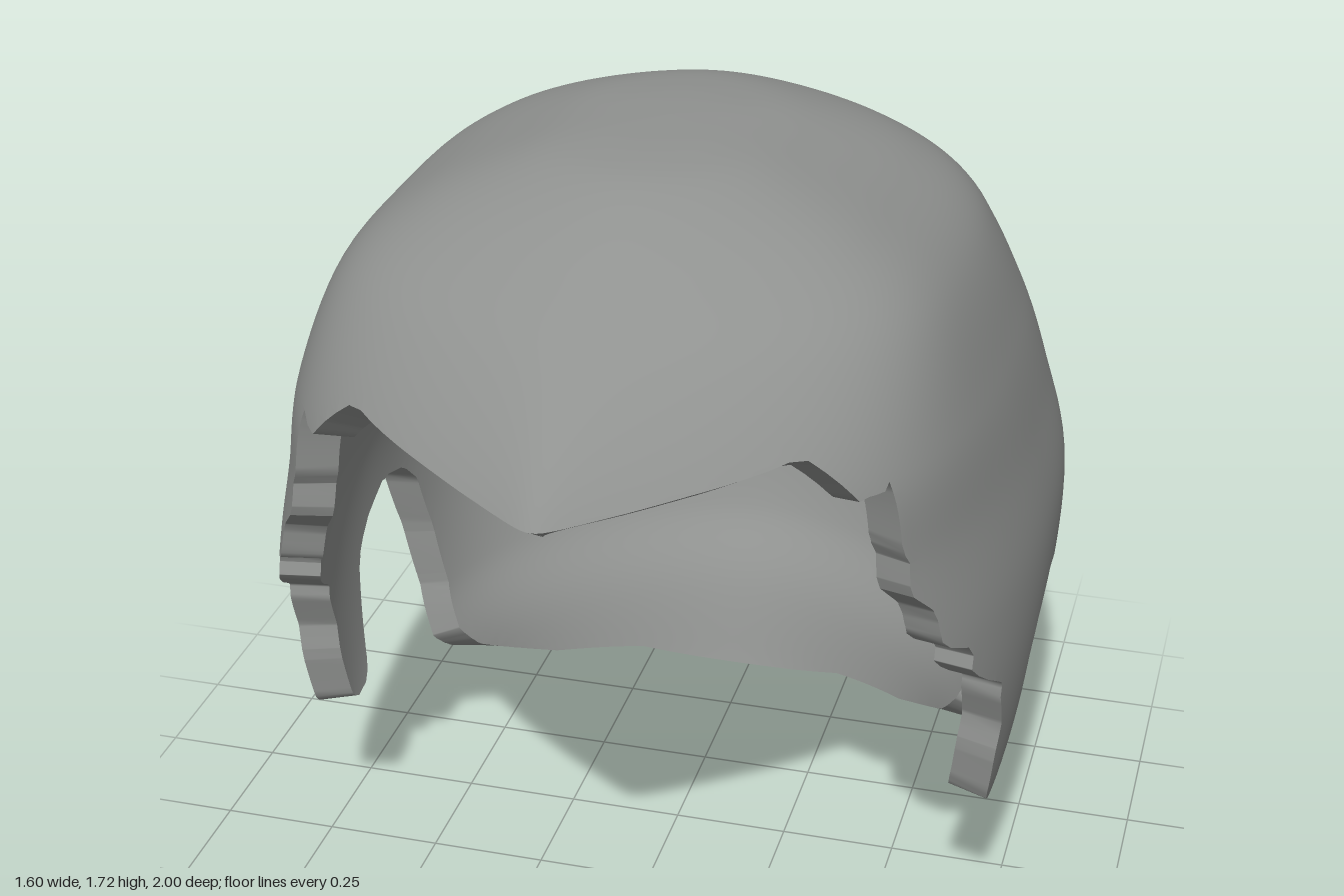
import * as THREE from 'three';
import { mergeVertices } from 'three/addons/utils/BufferGeometryUtils.js';

const THICKNESS = 0.085, COLUMNS = 160, STEPS = 9;

// Head sections from crown to nape:
// [y, half width, back z, widest z, front z, front peak, front fullness]
const SECTIONS = [
  [1.72, 0, 0.05, 0.05, 0.05, 0, 0.55],
  [1.713, 0.13, -0.14, 0.05, 0.27, 0, 0.55],
  [1.685, 0.26, -0.32, 0.05, 0.42, 0, 0.55],
  [1.6, 0.455, -0.53, 0.05, 0.61, 0.1, 0.55],
  [1.48, 0.605, -0.68, 0.05, 0.8, 0.35, 0.45],
  [1.27, 0.7, -0.86, 0.05, 1.0, 0.65, 0.25],
  [1.07, 0.755, -0.96, 0, 1.06, 0.65, 0.1],
  [0.85, 0.8, -1, -0.05, 1.1, 0.65, 0.1],
  [0.6, 0.79, -0.98, 0.05, 1.1, 0.65, 0.1],
  [0.35, 0.745, -0.9, 0.18, 0.9, 0.65, 0.1],
  [0.19, 0.675, -0.79, 0.2, 0.9, 0.65, 0.1],
  [0.0, 0.64, -0.715, 0.2, 0.9, 0.65, 0.1],
  [-0.1, 0.62, -0.67, 0.2, 0.9, 0.65, 0.1],
];

// Side outline [z, y] of the region left open: fringe, locks, sideburn, ear notch, nape
const OPENING = [
  [1.4, 1.2], [1.0, 1.27], [0.87, 1.31], [0.76, 1.34], [0.735, 1.35], [0.7, 1.25], [0.645, 1.26],
  [0.64, 1.33], [0.635, 1.12], [0.62, 1.1], [0.63, 1.03], [0.575, 0.97], [0.57, 0.89],
  [0.47, 0.84], [0.485, 0.79], [0.42, 0.74], [0.34, 0.69], [0.345, 0.66], [0.31, 0.57],
  [0.32, 0.5], [0.3, 0.38], [0.27, 0.355], [0.19, 0.355], [0.165, 0.4], [0.1, 0.62],
  [0.03, 0.68], [-0.1, 0.73], [-0.21, 0.7], [-0.27, 0.64], [-0.295, 0.5], [-0.285, 0.35],
  [-0.235, 0.24], [-0.27, 0.2], [-0.5, 0.095], [-0.65, 0.055], [-0.72, 0.0], [-0.8, -0.2], [1.4, -0.2],
];

// Smoothly interpolated section at row position v
function sectionAt(v) {
  const last = SECTIONS.length - 1;
  const i = Math.min(Math.floor(v), last - 1), t = v - i;
  const row = (k) => SECTIONS[Math.max(0, Math.min(last, k))];
  return SECTIONS[0].map((_, c) => {
    const p0 = row(i - 1)[c], p1 = row(i)[c], p2 = row(i + 1)[c], p3 = row(i + 2)[c];
    const m1 = (p2 - p0) / 2, m2 = (p3 - p1) / 2;
    return p1 + t * (m1 + t * (3 * (p2 - p1) - 2 * m1 - m2 + t * (2 * (p1 - p2) + m1 + m2)));
  });
}

// Point on the full head surface: full at the diagonals, narrowing to a peak in front
function surface(a, v) {
  const [y, w, back, mid, front, peak, frontFull] = sectionAt(v);
  const c = Math.cos(a);
  const full = c > 0 ? frontFull : Math.max(0.4, frontFull);
  const fullness = 1 + full * c * c * (1 - c * c);
  const pinch = c > 0 ? 1 - peak * c ** 8 : 1;
  return new THREE.Vector3(w * Math.sin(a) * fullness * pinch, y, mid + c * (c > 0 ? front - mid : mid - back));
}

function surfaceNormal(a, v) {
  const e = 0.01;
  const r = Math.max(0.03, Math.min(SECTIONS.length - 1 - 2 * e, v));
  const da = surface(a + e, r).sub(surface(a - e, r));
  const dv = surface(a, r + e).sub(surface(a, r - e));
  return dv.cross(da).normalize();
}

// Signed distance to the opening outline: negative where hair stays
function openingDistance(z, y) {
  let inside = false, best = Infinity;
  OPENING.forEach(([az, ay], i) => {
    const [bz, by] = OPENING[(i + 1) % OPENING.length];
    const dz = bz - az, dy = by - ay;
    const t = Math.max(0, Math.min(1, ((z - az) * dz + (y - ay) * dy) / (dz * dz + dy * dy)));
    best = Math.min(best, Math.hypot(z - az - t * dz, y - ay - t * dy));
    if ((ay > y) !== (by > y) && z < az + ((y - ay) / dy) * dz) inside = !inside;
  });
  return inside ? best : -best;
}

function toGeometry(points) {
  const raw = new THREE.BufferGeometry().setFromPoints(points);
  const geometry = mergeVertices(raw, 1e-4);
  geometry.computeVertexNormals();
  return geometry;
}

export function createModel() {
  const group = new THREE.Group();
  group.name = 'hair';
  const hairGrey = new THREE.MeshStandardMaterial({ color: 0x909290 });
  hairGrey.name = 'hair grey';

  // Sample matching outer and inner points over the head
  const rows = (SECTIONS.length - 1) * STEPS;
  const grid = [];
  for (let r = 0; r <= rows; r++) {
    grid.push([]);
    for (let c = 0; c < COLUMNS; c++) {
      const a = (c / COLUMNS) * Math.PI * 2, v = r / STEPS;
      const outer = surface(a, v);
      const inner = outer.clone().addScaledVector(surfaceNormal(a, v), -THICKNESS);
      grid[r].push({ outer, inner, d: openingDistance(outer.z, outer.y) });
    }
  }

  // Trim each triangle at the opening and close the cut with a rim
  const outerSkin = [], innerSkin = [], rim = [];
  function addTriangle(corners) {
    const kept = [];
    let exit, entry;
    corners.forEach((p, i) => {
      const q = corners[(i + 1) % 3];
      if (p.d < 0) kept.push(p);
      if ((p.d < 0) === (q.d < 0)) return;
      const t = p.d / (p.d - q.d);
      const cut = { outer: p.outer.clone().lerp(q.outer, t), inner: p.inner.clone().lerp(q.inner, t) };
      kept.push(cut);
      if (p.d < 0) exit = cut;
      else entry = cut;
    });
    for (let i = 1; i + 1 < kept.length; i++) {
      outerSkin.push(kept[0].outer, kept[i].outer, kept[i + 1].outer);
      innerSkin.push(kept[0].inner, kept[i + 1].inner, kept[i].inner);
    }
    if (exit) {
      rim.push(entry.outer, exit.outer, exit.inner, entry.outer, exit.inner, entry.inner);
    }
  }
  for (let r = 0; r < rows; r++) {
    for (let c = 0; c < COLUMNS; c++) {
      const n = (c + 1) % COLUMNS;
      const A = grid[r][c], B = grid[r][n], C = grid[r + 1][n], D = grid[r + 1][c];
      addTriangle([A, D, C]);
      if (r > 0) addTriangle([A, C, B]);
    }
  }

  for (const [name, points] of [['outerHair', outerSkin], ['innerHair', innerSkin], ['hairEdge', rim]]) {
    const mesh = new THREE.Mesh(toGeometry(points), hairGrey);
    mesh.name = name;
    group.add(mesh);
  }
  return group;
}
